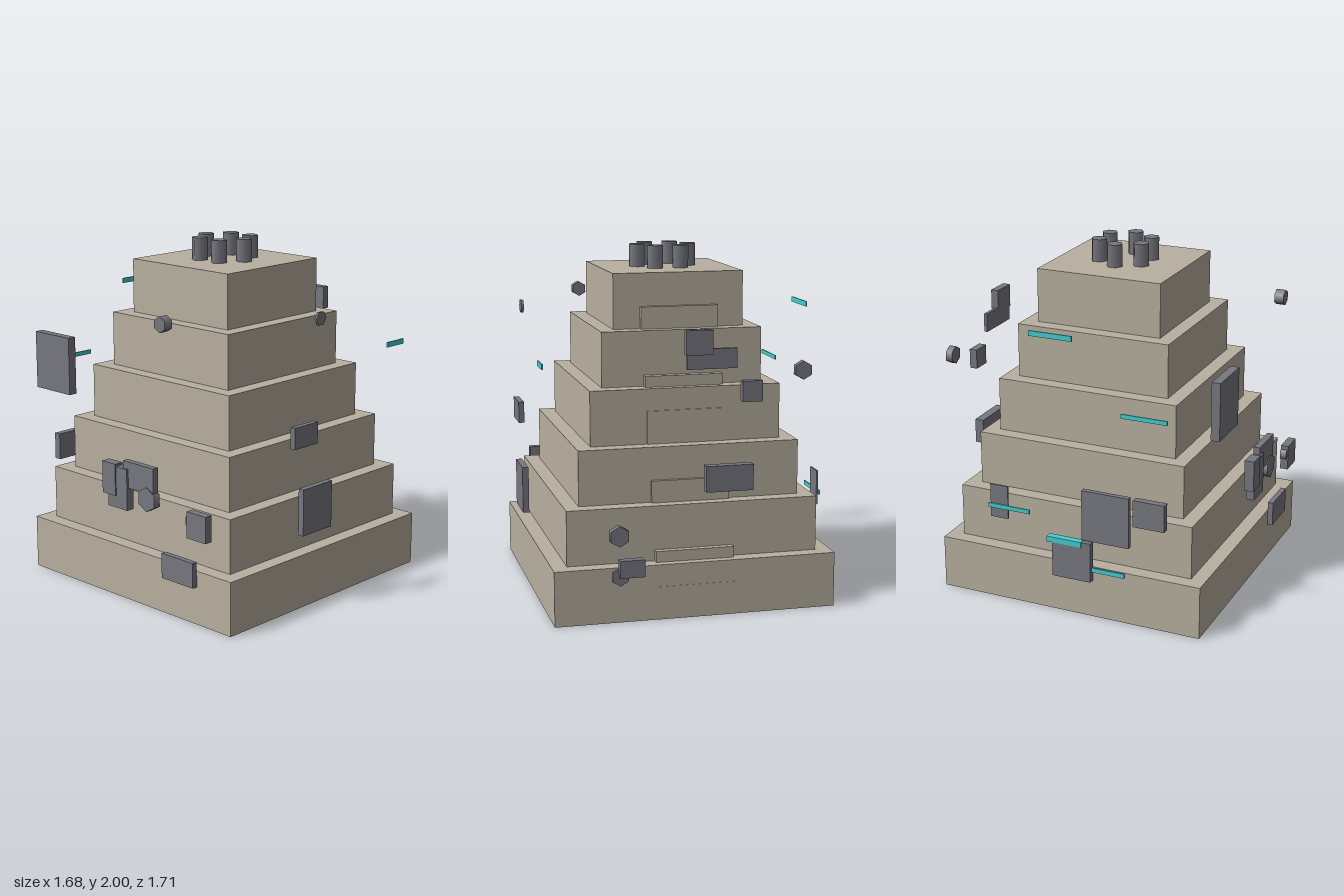
import * as THREE from 'three';

const stone = new THREE.MeshStandardMaterial({ color: 0xb8b0a0 });
stone.name = 'stone';
const metal = new THREE.MeshStandardMaterial({ color: 0x777780 });
metal.name = 'greyMetal';
const glow = new THREE.MeshStandardMaterial({ color: 0x44cccc });
glow.name = 'cyanTrim';

const TIERS = 6, TIER_H = 1.87 / TIERS, ZC = -0.003;

export function createModel() {
  const model = new THREE.Group();
  model.name = 'steppedTower';

  const add = (name, geometry, material) => {
    const mesh = new THREE.Mesh(geometry, material);
    mesh.name = name;
    model.add(mesh);
    return mesh;
  };

  // Box from its limits on each axis
  const block = (name, material, [x0, x1], [y0, y1], [z0, z1]) =>
    add(name, new THREE.BoxGeometry(x1 - x0, y1 - y0, z1 - z0), material)
      .position.set((x0 + x1) / 2, (y0 + y1) / 2, (z0 + z1) / 2);

  // Hexagonal stud pointing along z or x
  const stud = (name, axis, x, y, z, r, depth) => {
    const g = new THREE.CylinderGeometry(r, r, depth, 6);
    if (axis === 'z') g.rotateX(Math.PI / 2);
    else g.rotateZ(Math.PI / 2);
    add(name, g, metal).position.set(x, y, z);
  };

  // Stepped body
  for (let i = 0; i < TIERS; i++) {
    const h = 0.8 - 0.085 * i;
    block('tier', stone, [-h, h], [i * TIER_H, (i + 1) * TIER_H], [ZC - h, ZC + h]);
  }

  // Stairway set into the back, partly sunk in the tiers
  for (let k = 0; k < 10; k++) {
    const z = -0.805 + 0.05 * k;
    block('backStep', stone, [-0.2225, 0.2225], [k * 0.187, (k + 1) * 0.187], [z, z + 0.1]);
  }

  // Ring of hexagonal chimneys
  for (let i = 0; i < 6; i++) {
    const a = (i * Math.PI) / 3;
    add('chimney', new THREE.CylinderGeometry(0.047, 0.047, 0.13, 6), metal)
      .position.set(0.15 * Math.cos(a), 1.935, ZC + 0.15 * Math.sin(a));
  }

  // Front panels: x range, y range, outer z
  [
    [[-0.69, -0.407], [1.14, 1.47], 0.85],
    [[-0.135, -0.03], [0.625, 0.81], 0.857],
    [[-0.097, 0.057], [0.555, 0.795], 0.85],
    [[0.015, 0.255], [0.685, 0.838], 0.838],
    [[0.52, 0.662], [0.507, 0.658], 0.847],
    [[0.31, 0.55], [0.22, 0.365], 0.832],
  ].forEach(([x, y, z]) => block('frontPanel', metal, x, y, [0.8, z]));
  stud('frontStud', 'z', 0.335, 1.655, 0.827, 0.045, 0.055);
  stud('frontStud', 'z', 0.205, 0.652, 0.822, 0.071, 0.045);
  stud('frontStud', 'z', 0.545, 0.602, 0.82, 0.045, 0.04);

  // Back panels
  [
    [[-0.073, 0.077], [1.47, 1.605], -0.845],
    [[-0.215, 0.065], [1.39, 1.5], -0.82],
    [[-0.353, -0.24], [1.205, 1.32], -0.845],
    [[-0.303, -0.035], [0.715, 0.86], -0.853],
    [[0.305, 0.445], [0.262, 0.36], -0.848],
  ].forEach(([x, y, z]) => block('backPanel', metal, x, y, [z, -0.8]));
  stud('backStud', 'z', -0.587, 1.365, -0.82, 0.052, 0.04);
  stud('backStud', 'z', 0.445, 0.495, -0.822, 0.058, 0.045);
  stud('backStud', 'z', 0.435, 0.262, -0.81, 0.052, 0.02);

  // Panels on the +x side
  block('leftPanel', metal, [0.8, 0.832], [0.952, 1.075], [0.133, 0.323]);
  block('leftPanel', metal, [0.8, 0.836], [0.44, 0.71], [0.008, 0.25]);
  stud('leftStud', 'x', 0.81, 1.645, 0.1, 0.041, 0.015);
  block('leftTrim', glow, [0.815, 0.823], [1.39, 1.42], [-0.635, -0.487]);

  // Panels on the -x side
  [
    [[0.415, 0.6], [0.625, 0.783], -0.842],
    [[0.1, 0.385], [0.48, 0.78], -0.83],
    [[-0.08, 0.155], [0.23, 0.468], -0.84],
    [[-0.48, -0.37], [0.51, 0.71], -0.81],
  ].forEach(([z, y, x]) => block('rightPanel', metal, [x, -0.8], y, z));

  // Cyan trim strips on the -x side: z range, y range, x range
  [
    [[-0.11, 0.1], [0.437, 0.47], [-0.845, -0.805]],
    [[-0.21, 0.047], [1.63, 1.66], [-0.82, -0.812]],
    [[-0.49, -0.23], [0.57, 0.595], [-0.82, -0.812]],
    [[0.1, 0.355], [0.288, 0.315], [-0.823, -0.815]],
    [[0.33, 0.6], [1.235, 1.26], [-0.812, -0.804]],
  ].forEach(([z, y, x]) => block('rightTrim', glow, x, y, z));

  return model;
}
